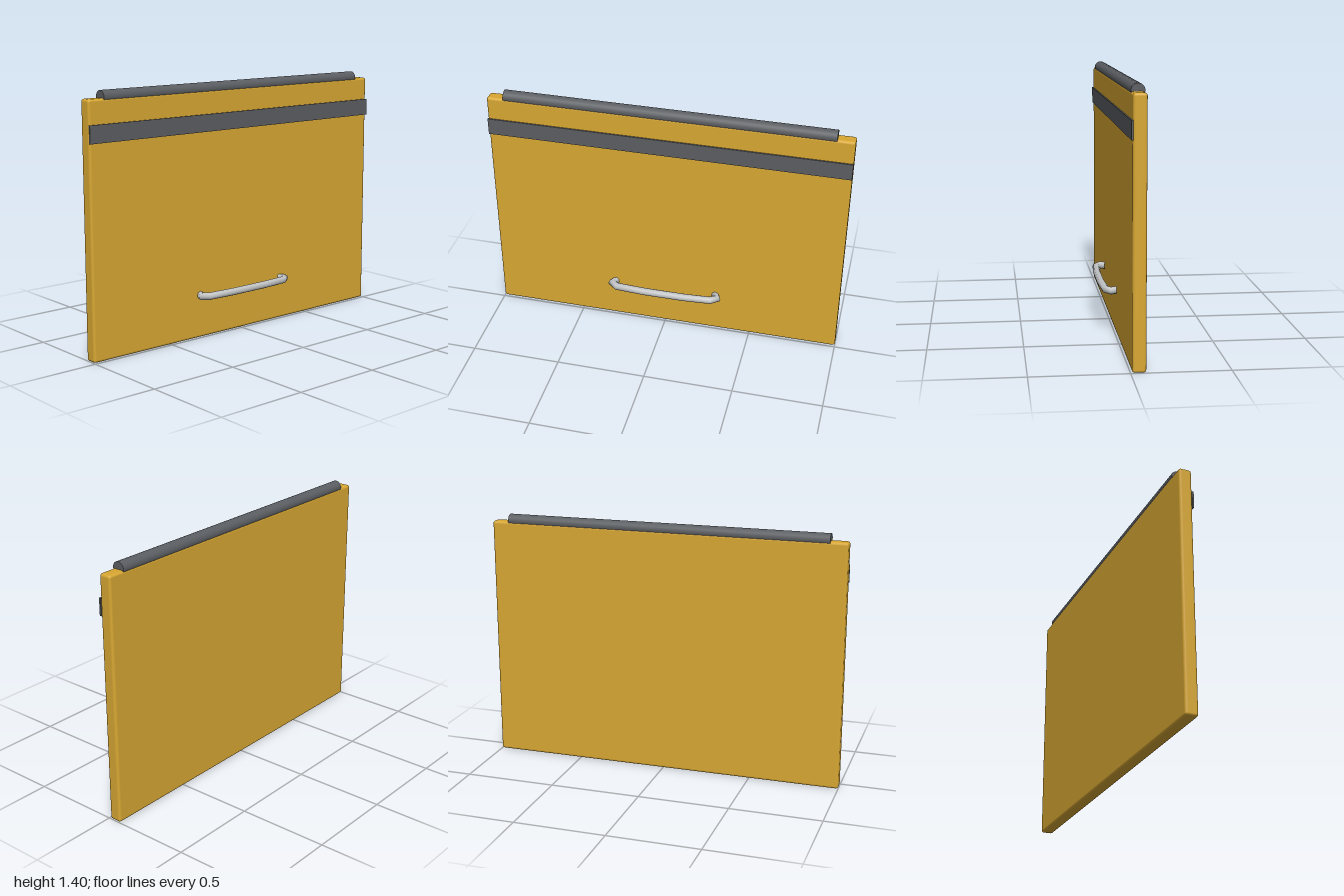
import * as THREE from 'three';
import { RoundedBoxGeometry } from 'three/addons/geometries/RoundedBoxGeometry.js';

const material = (name, color) => {
  const m = new THREE.MeshStandardMaterial({ color });
  m.name = name;
  return m;
};

// Curve that runs straight between its points, with mitred joints
class Polyline extends THREE.Curve {
  constructor(points) {
    super();
    this.points = points;
  }
  getPoint(t, target = new THREE.Vector3()) {
    const f = t * (this.points.length - 1);
    const i = Math.min(Math.floor(f + 1e-6), this.points.length - 2);
    return target.lerpVectors(this.points[i], this.points[i + 1], f - i);
  }
  getPointAt(t, target) {
    return this.getPoint(t, target);
  }
  getTangentAt(t, target = new THREE.Vector3()) {
    const p = this.points;
    const i = Math.round(t * (p.length - 1));
    const a = p[Math.max(i - 1, 0)], b = p[i], c = p[Math.min(i + 1, p.length - 1)];
    const before = b.clone().sub(a).normalize();
    const after = c.clone().sub(b).normalize();
    return target.copy(before).add(after).normalize();
  }
}

export function createModel() {
  const group = new THREE.Group();
  group.name = 'cabinetDoor';
  const yellow = material('ochre panel', 0xd9a833);
  const gray = material('dark gray trim', 0x5b5e62);
  const metal = material('brushed metal', 0xc2c4c6);

  const add = (name, geometry, mat, x, y, z) => {
    const mesh = new THREE.Mesh(geometry, mat);
    mesh.name = name;
    mesh.position.set(x, y, z);
    group.add(mesh);
    return mesh;
  };

  // Door panel with softened edges
  add('panel', new RoundedBoxGeometry(2, 1.36, 0.07, 2, 0.014), yellow, 0, 0.68, -0.043);

  // Hinge rod half sunk into the top edge
  const rod = add('hingeRod', new THREE.CylinderGeometry(0.035, 0.035, 1.81, 24), gray, 0, 1.365, -0.043);
  rod.rotation.z = Math.PI / 2;

  // Thin stripe across the front
  add('stripe', new THREE.BoxGeometry(2, 0.094, 0.009), gray, 0, 1.185, -0.0045);

  // Bowed pull handle, mirrored from its right half
  const half = [[0.292, -0.012], [0.312, 0.022], [0.275, 0.047], [0.12, 0.057]];
  const right = half.map(([x, z]) => new THREE.Vector3(x, 0, z));
  const left = half.map(([x, z]) => new THREE.Vector3(-x, 0, z)).reverse();
  const path = new Polyline([...right, ...left]);
  add('handle', new THREE.TubeGeometry(path, path.points.length - 1, 0.021, 8), metal, 0, 0.241, 0);

  return group;
}
